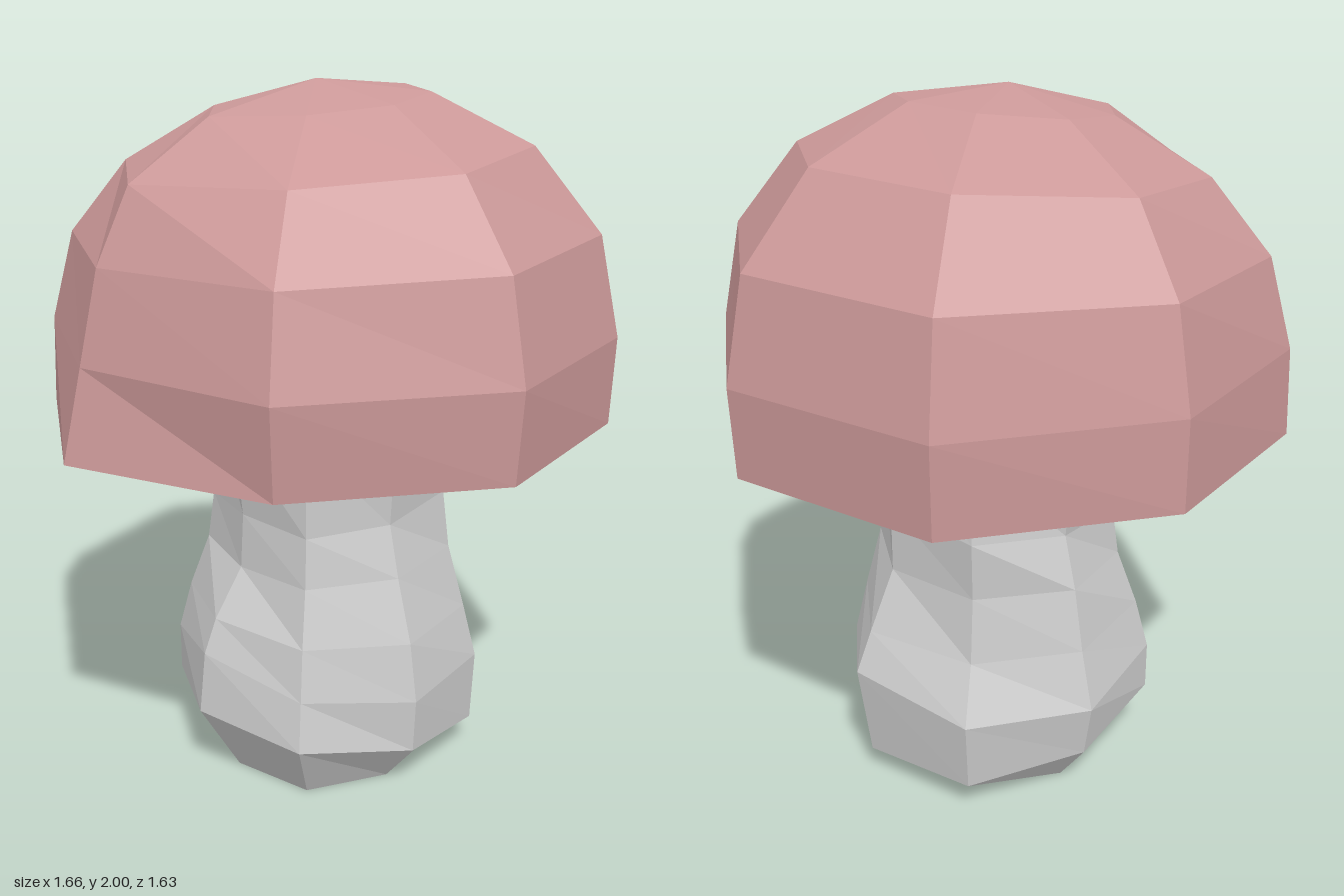
import * as THREE from 'three';

const SIDES = 8;

// One uneven ring: base height, sideways tilt, lift of the two side corners, then
// eight radii running right-hand (+x), back, left, front.
function ringPoints([y, tilt, lift, ...radii]) {
  return radii.map((r, i) => {
    const a = (i / SIDES) * Math.PI * 2, c = Math.cos(a);
    return new THREE.Vector3(r * c, y + tilt * c + lift * c ** 4, -r * Math.sin(a));
  });
}

// Faceted skin through a stack of rings, optionally closed by an apex
function skin(rings, apex) {
  const loops = rings.map(ringPoints), pts = [];
  for (let k = 0; k < loops.length; k++) {
    for (let i = 0; i < SIDES; i++) {
      const j = (i + 1) % SIDES, low = loops[k], up = loops[k + 1];
      if (up) pts.push(low[i], low[j], up[i], low[j], up[j], up[i]);
      else if (apex) pts.push(low[i], low[j], apex);
    }
  }
  return toGeometry(pts);
}

// Fan closing a ring from below
function underFan(ring, centre) {
  const loop = ringPoints(ring);
  return toGeometry(loop.flatMap((p, i) => [centre, loop[(i + 1) % SIDES], p]));
}

function toGeometry(pts) {
  const g = new THREE.BufferGeometry().setFromPoints(pts);
  g.computeVertexNormals();
  return g;
}

function part(name, geometry, color, side = THREE.FrontSide) {
  const mesh = new THREE.Mesh(geometry, new THREE.MeshStandardMaterial({ color, flatShading: true, side }));
  mesh.name = name;
  return mesh;
}

export function createModel() {
  const model = new THREE.Group();
  model.name = 'mushroom';

  // Domed cap
  const capRings = [
    [1.06, 0, 0, .82, .84, .81, .82, .83, .78, .80, .81],
    [1.31, 0, 0, .83, .85, .81, .81, .77, .81, .82, .82],
    [1.58, .02, 0, .77, .79, .75, .74, .71, .74, .76, .76],
    [1.80, .04, 0, .57, .59, .59, .57, .61, .56, .58, .57],
    [1.945, .03, 0, .28, .30, .31, .31, .37, .30, .30, .29],
  ];
  model.add(part('cap', skin(capRings, new THREE.Vector3(-.03, 2, 0)), 0xcc9999));

  // Shallow underside of the cap
  model.add(part('capUnderside', underFan(capRings[0], new THREE.Vector3(0, 1.045, 0)), 0xcccccc));

  // Bulging stem, open at the foot
  const stemRings = [
    [0, 0, 0, .31, .32, .33, .33, .32, .34, .31, .32],
    [.14, -.07, .01, .46, .47, .44, .46, .45, .46, .43, .45],
    [.30, -.02, .08, .50, .50, .47, .46, .43, .43, .44, .46],
    [.47, -.01, .02, .45, .42, .42, .42, .39, .40, .41, .42],
    [.65, .01, 0, .37, .39, .38, .36, .30, .35, .35, .37],
    [.80, .03, .03, .37, .40, .33, .34, .29, .33, .31, .35],
    [1.06, 0, 0, .33, .36, .36, .33, .32, .33, .33, .34],
  ];
  model.add(part('stem', skin(stemRings), 0xcccccc, THREE.DoubleSide));

  return model;
}
